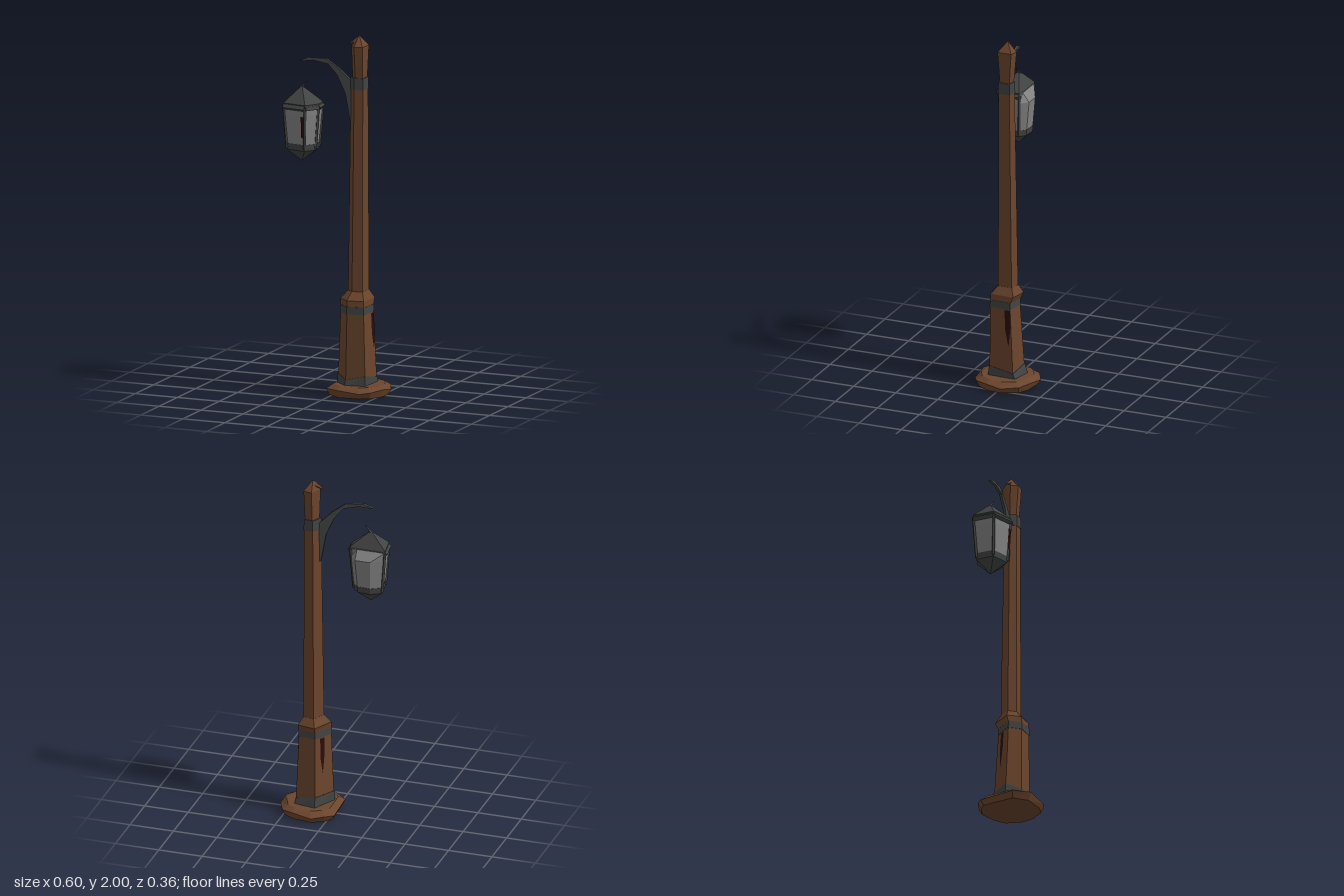
import * as THREE from 'three';

const mat = (name, color, extra = {}) =>
  Object.assign(new THREE.MeshStandardMaterial({ color, flatShading: true, ...extra }), { name });

// Irregular five-sided cross-section shared by every piece of the post, [x, z]
const SECTION = [[-0.1, 0.04], [-0.03, 0.11], [0.08, 0.09], [0.088, -0.085], [-0.03, -0.11]];

// Section ring at height y, centred on cx, cz and scaled by sx, sz
const ring = (y, cx, cz, sx, sz) => SECTION.map(([x, z]) => [cx + x * sx, y, cz + z * sz]);

// Skin between rings; each end closes to the given point or to its centre
function loft(rings, bottom, top) {
  const v = [];
  const n = rings[0].length;
  const centre = r => [0, 1, 2].map(k => r.reduce((s, p) => s + p[k], 0) / n);
  const last = rings[rings.length - 1];
  const lo = bottom || centre(rings[0]);
  const hi = top || centre(last);
  for (let i = 0; i < n; i++) {
    const j = (i + 1) % n;
    for (let k = 0; k + 1 < rings.length; k++) {
      const a = rings[k], b = rings[k + 1];
      v.push(...a[i], ...a[j], ...b[j], ...a[i], ...b[j], ...b[i]);
    }
    v.push(...lo, ...rings[0][j], ...rings[0][i]);
    v.push(...hi, ...last[i], ...last[j]);
  }
  const g = new THREE.BufferGeometry();
  g.setAttribute('position', new THREE.Float32BufferAttribute(v, 3));
  g.computeVertexNormals();
  return g;
}

// Slim rod between two points
function rod(a, b, r0, r1) {
  const p = new THREE.Vector3(...a), q = new THREE.Vector3(...b);
  const d = q.clone().sub(p);
  const g = new THREE.CylinderGeometry(r1, r0, d.length(), 4);
  g.applyQuaternion(new THREE.Quaternion().setFromUnitVectors(new THREE.Vector3(0, 1, 0), d.normalize()));
  return g.translate(...p.add(q).multiplyScalar(0.5).toArray());
}

export function createModel() {
  const model = new THREE.Group();
  model.name = 'lampPost';
  const wood = mat('wood', 0x6b452d);
  const metal = mat('dark metal', 0x424343);
  const glass = mat('grey glass', 0x828282);
  const stain = mat('dark red', 0x2c0c0c, { side: THREE.DoubleSide });
  const add = (name, geometry, material, parent = model) => {
    const m = new THREE.Mesh(geometry, material);
    m.name = name;
    parent.add(m);
    return m;
  };

  // Rough round foot
  const outline = [[-0.04, -0.095], [-0.035, 0.11], [0.05, 0.173], [0.185, 0.165], [0.24, 0.135], [0.285, 0.055],
    [0.292, -0.03], [0.25, -0.125], [0.185, -0.16], [0.07, -0.177], [0, -0.14]];
  const disc = (y, s) => outline.map(([x, z], i) => [0.125 + (x - 0.125) * s, y + (s === 1 ? (i % 3) * 0.007 : 0), z * s]);
  add('foot', loft([disc(0, 0.9), disc(0.03, 1), disc(0.06, 0.8)]), wood);

  // Tapered plinth, with its section at any height
  const plinthAt = (y, grow = 1) => {
    const t = (y - 0.05) / 0.45;
    return ring(y, 0.105 + t * 0.003, 0.005 + t * 0.013, (1 - t * 0.17) * grow, (0.82 - t * 0.14) * grow);
  };
  add('plinth', loft([plinthAt(0.05), plinthAt(0.5)]), wood);
  add('collar', loft([
    ring(0.495, 0.108, 0.015, 0.84, 0.7),
    ring(0.53, 0.106, 0.006, 0.86, 0.78),
    ring(0.575, 0.11, 0, 0.54, 0.48)]), wood);

  // Iron bands on the plinth; the lower one has a ragged top edge
  const ragged = plinthAt(0.1, 1.03).map(([x, y, z], i) => [x, y + (i % 2 ? -0.012 : 0.014), z]);
  add('footBand', loft([ring(0.05, 0.105, 0.003, 1.04, 0.96), ragged]), metal);
  add('plinthBand', loft([plinthAt(0.455, 1.03), plinthAt(0.495, 1.03)]), metal);

  // Dark patches on two plinth faces
  const patch = (name, edge, t0, t1) => {
    const at = (y, t) => {
      const r = plinthAt(y, 1.02);
      return new THREE.Vector3(...r[edge]).lerp(new THREE.Vector3(...r[(edge + 1) % 5]), t);
    };
    const mid = (t0 + t1) / 2;
    const p = [at(0.24, mid), at(0.36, t1), at(0.45, t1), at(0.45, t0), at(0.34, t0)];
    const g = new THREE.BufferGeometry().setFromPoints([p[0], p[1], p[2], p[0], p[2], p[3], p[0], p[3], p[4]]);
    g.computeVertexNormals();
    add(name, g, stain);
  };
  patch('leftPatch', 2, 0.72, 0.98);
  patch('backPatch', 4, 0.3, 0.55);

  // Shaft, top band and pointed finial
  add('shaft', loft([ring(0.56, 0.11, 0, 0.53, 0.47), ring(1.72, 0.118, 0.005, 0.44, 0.37)]), wood);
  add('topBand', loft([ring(1.7, 0.118, 0.005, 0.47, 0.4), ring(1.765, 0.118, 0.005, 0.45, 0.39)]), metal);
  add('finial', loft([ring(1.75, 0.12, 0.003, 0.37, 0.32), ring(1.94, 0.12, 0.003, 0.42, 0.47)], null, [0.115, 2, 0]), wood);
  add('finialSplinter', rod([0.115, 1.975, 0.005], [0.058, 1.945, 0.01], 0.018, 0.002), wood);

  // Curved bracket: flat plate sheared toward the lantern
  const arm = new THREE.Shape([[0.085, 1.5], [0.085, 1.735], [0.01, 1.81], [-0.06, 1.862], [-0.16, 1.865],
    [-0.215, 1.84], [-0.13, 1.85], [-0.05, 1.833], [0, 1.772], [0.045, 1.67], [0.072, 1.51]]
    .map(p => new THREE.Vector2(...p)));
  const armGeo = new THREE.ExtrudeGeometry(arm, { depth: 0.016, bevelEnabled: false });
  const ap = armGeo.attributes.position;
  for (let i = 0; i < ap.count; i++) ap.setZ(i, ap.getZ(i) + 0.004 + (0.085 - ap.getX(i)) * 0.21);
  armGeo.computeVertexNormals();
  add('bracket', armGeo, metal);

  // Lantern: seven-sided glass body that bulges at the back below the roof
  const lantern = new THREE.Group();
  lantern.name = 'lantern';
  model.add(lantern);
  const plan = [[-0.293, 0.02], [-0.275, 0.145], [-0.135, 0.168], [-0.085, 0.095], [-0.09, 0.022], [-0.13, -0.015], [-0.22, -0.022]];
  const lring = (y, s, backZ) => plan.map(([x, z], i) =>
    [-0.19 + (x + 0.19) * s, y, i > 4 && backZ !== undefined ? backZ : 0.072 + (z - 0.072) * s]);
  const tipZ = 0.07;
  const shoulder = lring(1.555, 0.96, -0.018), sill = lring(1.365, 0.8);
  add('glassBody', loft([sill, shoulder, lring(1.605, 0.97, 0.019)]), glass, lantern);
  add('roof', loft([lring(1.6, 1, 0.02), lring(1.615, 1, 0.02)], null, [-0.195, 1.705, tipZ]), metal, lantern);
  add('lanternBase', loft([lring(1.355, 0.8), lring(1.39, 0.84)], [-0.195, 1.285, tipZ]), metal, lantern);
  add('hook', rod([-0.2, 1.69, tipZ], [-0.162, 1.735, tipZ], 0.01, 0.002), metal, lantern);
  for (let i = 0; i < 5; i++) {
    add('cornerPost', rod(sill[i], lring(1.6, 0.97)[i], 0.009, 0.009), metal, lantern);
  }

  // Dark rim under the front of the roof
  for (let i = 0; i < 4; i++) {
    const a = lring(1.595, 0.97)[i], b = lring(1.595, 0.97)[i + 1];
    add('roofRim', rod(a, b, 0.016, 0.016), metal, lantern);
  }

  // Dark streak on the front pane
  const streak = new THREE.PlaneGeometry(0.018, 0.12);
  streak.rotateX(0.08).translate(-0.152, 1.49, 0.163);
  add('paneStreak', streak, stain, lantern);
  return model;
}
